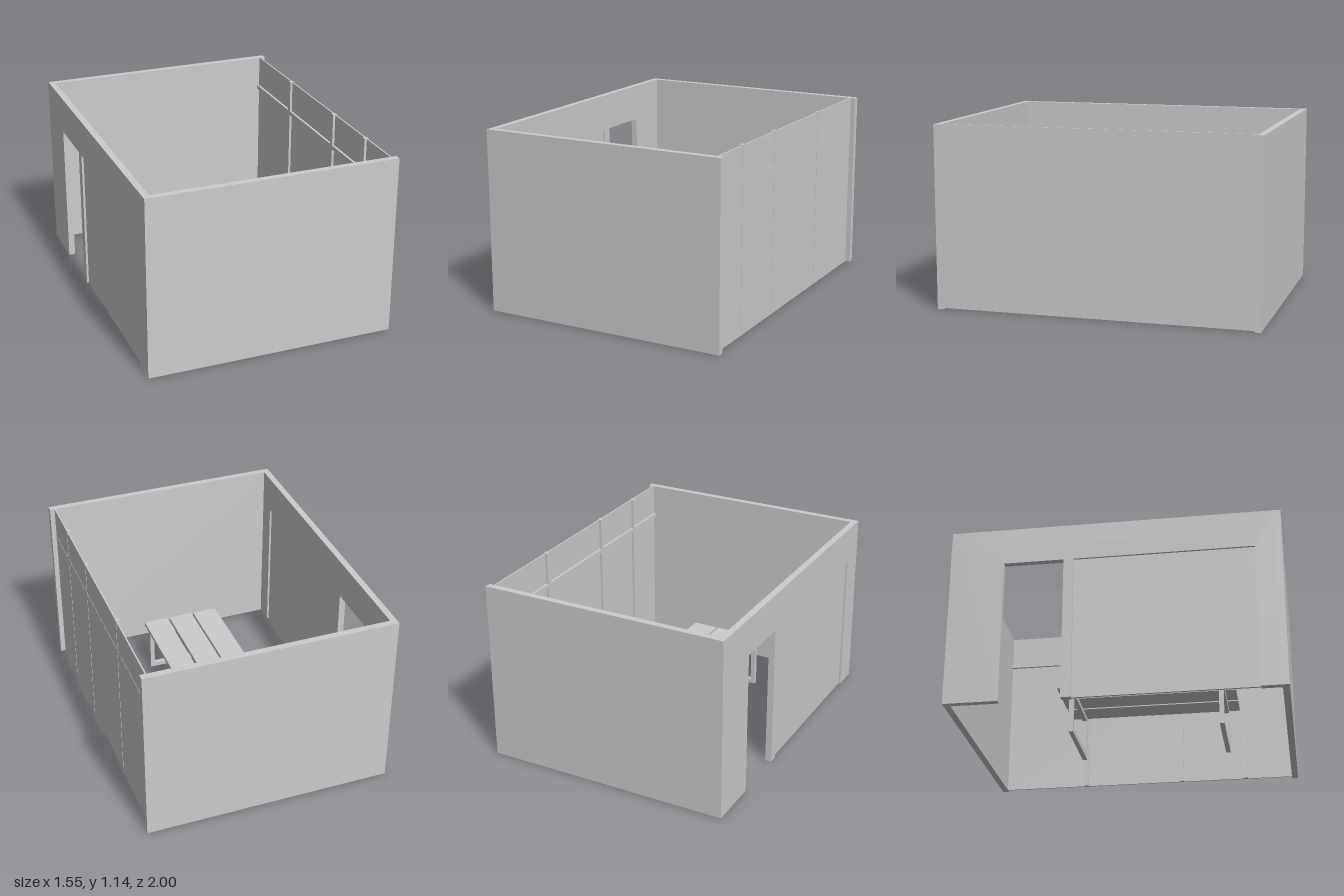
import * as THREE from 'three';

const material = new THREE.MeshStandardMaterial({ color: 0xcccccc });

// Box given by its two opposite corners
function block(parent, name, [x0, y0, z0], [x1, y1, z1]) {
  const mesh = new THREE.Mesh(new THREE.BoxGeometry(x1 - x0, y1 - y0, z1 - z0), material);
  mesh.position.set((x0 + x1) / 2, (y0 + y1) / 2, (z0 + z1) / 2);
  mesh.name = name;
  parent.add(mesh);
}

function group(parent, name) {
  const g = new THREE.Group();
  g.name = name;
  parent.add(g);
  return g;
}

const H = 1.133;           // wall height
const X = 0.775;           // half width
const T = 0.04;            // wall thickness
const DOOR = { z0: -0.67, z1: 0.84, top: 0.9 };

// Side wall with the wide door opening, drawn in (z, y) and extruded along x
function doorWall(parent) {
  const e = 1 - T;
  const s = new THREE.Shape([
    [-e, 0], [DOOR.z0, 0], [DOOR.z0, DOOR.top], [DOOR.z1, DOOR.top],
    [DOOR.z1, 0], [e, 0], [e, H], [-e, H],
  ].map(([z, y]) => new THREE.Vector2(-z, y)));
  const geo = new THREE.ExtrudeGeometry(s, { depth: T, bevelEnabled: false });
  geo.rotateY(Math.PI / 2);
  const wall = new THREE.Mesh(geo, material);
  wall.position.x = -X;
  wall.name = 'doorWall';
  parent.add(wall);
}

export function createModel() {
  const room = new THREE.Group();
  room.name = 'meetingRoom';

  // Solid walls
  block(room, 'frontWall', [-X, 0, 1 - T], [X, H, 1]);
  block(room, 'backWall', [-X, 0, -1], [X, H, -1 + T]);
  doorWall(room);

  // Fixed panel and post filling part of the opening
  block(room, 'doorPanel', [-0.762, 0, -0.25], [-0.748, DOOR.top, DOOR.z1]);
  block(room, 'doorPost', [-X, 0, -0.305], [-X + T, DOOR.top, -0.245]);

  // Glazed wall: pane, uprights and one crossbar
  const glazing = group(room, 'glazedWall');
  block(glazing, 'pane', [0.735, 0, -1 + T], [0.744, H, 1 - T]);
  for (const z of [-0.415, 0.23, 0.655]) {
    block(glazing, 'upright', [0.72, 0, z - 0.014], [0.746, H + 0.004, z + 0.014]);
  }
  block(glazing, 'crossbar', [0.72, 0.905, -1.001], [0.746, 0.932, 0.98]);

  // Table: three planks on two rectangular frames
  const table = group(room, 'table');
  for (const x of [-0.262, -0.09, 0.086]) {
    block(table, 'plank', [x, 0.285, -0.43], [x + 0.16, 0.31, 0.66]);
  }
  const b = 0.028, left = -0.255, right = 0.24;
  for (const z of [-0.355, 0.565]) {
    const frame = group(table, 'legFrame');
    block(frame, 'footBar', [left, 0, z], [right, b, z + b]);
    block(frame, 'topBar', [left, 0.285 - b, z], [right, 0.285, z + b]);
    for (const x of [left, right - b]) {
      block(frame, 'leg', [x, b, z], [x + b, 0.285 - b, z + b]);
    }
  }
  return room;
}
